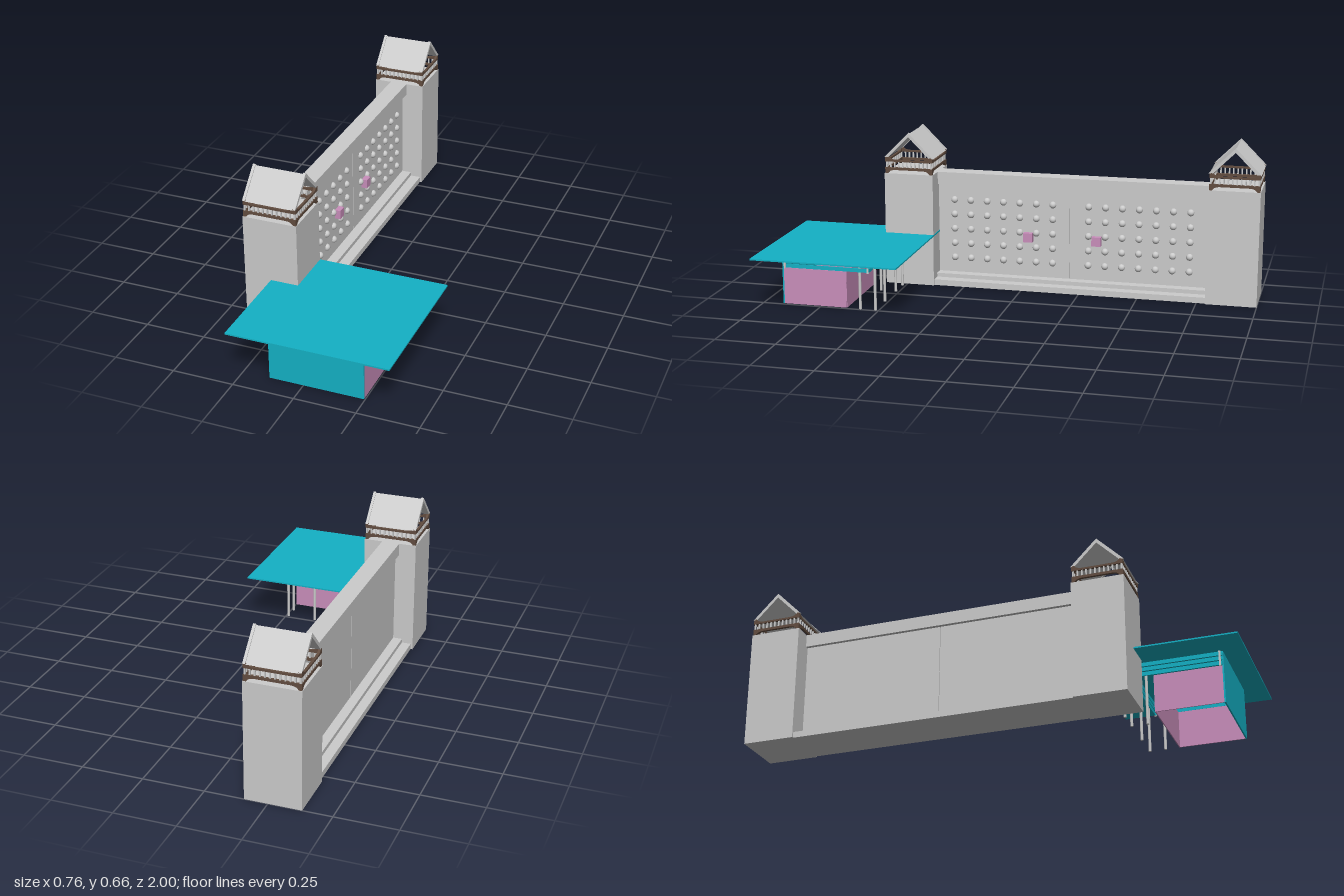
import * as THREE from 'three';

const mat = (color) => new THREE.MeshStandardMaterial({ color, side: THREE.DoubleSide });
const GREY = mat(0xcccccc), TEAL = mat(0x14b1c5), PURPLE = mat(0xc98ebb), BROWN = mat(0x624d40);

function add(parent, name, geometry, material) {
  const mesh = new THREE.Mesh(geometry, material);
  mesh.name = name;
  parent.add(mesh);
  return mesh;
}

// Box given by its limits on each axis
function box(parent, name, material, [x0, x1], [y0, y1], [z0, z1]) {
  const mesh = add(parent, name, new THREE.BoxGeometry(x1 - x0, y1 - y0, z1 - z0), material);
  mesh.position.set((x0 + x1) / 2, (y0 + y1) / 2, (z0 + z1) / 2);
  return mesh;
}

// Gable chevron extruded along x
function chevron(half, eave, ridge, thick, length) {
  const s = new THREE.Shape();
  s.moveTo(-half, eave);
  s.lineTo(0, ridge);
  s.lineTo(half, eave);
  s.lineTo(half - thick, eave);
  s.lineTo(0, ridge - thick);
  s.lineTo(-half + thick, eave);
  s.closePath();
  return new THREE.ExtrudeGeometry(s, { depth: length, bevelEnabled: false })
    .translate(0, 0, -length / 2).rotateY(Math.PI / 2);
}

// Rail with a straight inner edge and a hollowed outer edge that swells at the corners
function archedRail(width, inner, middle, end) {
  const h = width / 2, flat = h - 0.045;
  const s = new THREE.Shape();
  s.moveTo(-h, inner);
  s.lineTo(h, inner);
  s.lineTo(h, end);
  s.lineTo(h - 0.012, end);
  s.quadraticCurveTo(h - 0.02, middle, flat, middle);
  s.lineTo(-flat, middle);
  s.quadraticCurveTo(-h + 0.02, middle, -h + 0.012, end);
  s.lineTo(-h, end);
  s.closePath();
  return new THREE.ExtrudeGeometry(s, { depth: 0.01, bevelEnabled: false, curveSegments: 8 });
}

// Open lookout with a gabled roof on top of a tower
function lookout() {
  const g = new THREE.Group();
  g.name = 'lookout';
  const W = 0.222, D = 0.208;
  for (let i = 0; i < 4; i++) {
    const side = new THREE.Group();
    side.name = 'balustrade';
    const width = i % 2 ? D : W, out = (i % 2 ? W : D) / 2 - 0.01;
    add(side, 'lowerRail', archedRail(width, 0.511, 0.5, 0.485), BROWN).position.z = out;
    add(side, 'upperRail', archedRail(width, 0.536, 0.544, 0.558), BROWN).position.z = out;
    for (let k = 0; k < 12; k++) {
      const x = (k / 11 - 0.5) * (width - 0.012);
      box(side, 'baluster', GREY, [x - 0.003, x + 0.003], [0.508, 0.54], [out + 0.002, out + 0.008]);
    }
    side.rotation.y = i * Math.PI / 2;
    g.add(side);
  }
  add(g, 'roof', chevron(0.106, 0.552, 0.658, 0.011, 0.202), GREY);
  for (const s of [-1, 1])
    add(g, 'bargeBoard', chevron(0.108, 0.555, 0.663, 0.018, 0.011), GREY).position.x = s * 0.1055;
  return g;
}

function createModel() {
  const model = new THREE.Group();
  model.name = 'gatehouse';

  // Towers with lookouts
  for (const [z0, z1] of [[0.382, 0.595], [-1, -0.787]]) {
    box(model, 'tower', GREY, [-0.383, -0.157], [0, 0.485], [z0, z1]);
    const top = lookout();
    top.position.set(-0.27, 0, (z0 + z1) / 2);
    model.add(top);
  }

  // Wall between the towers: stepped base, two gate panels, top beam
  const span = [-0.788, 0.383];
  box(model, 'wallBase', GREY, [-0.375, -0.165], [0, 0.025], span);
  box(model, 'wallStep', GREY, [-0.335, -0.21], [0.025, 0.042], span);
  box(model, 'topBeam', GREY, [-0.31, -0.235], [0.432, 0.485], span);
  box(model, 'gateCore', GREY, [-0.29, -0.26], [0.04, 0.435], span);
  box(model, 'frontGate', GREY, [-0.295, -0.253], [0.04, 0.435], [-0.193, 0.383]);
  box(model, 'rearGate', GREY, [-0.295, -0.253], [0.04, 0.435], [-0.788, -0.197]);

  // Rows of round studs and a handle on each gate
  const stud = new THREE.SphereGeometry(0.015, 14, 10);
  for (const first of [0.312, -0.275])
    for (let c = 0; c < 7; c++)
      for (let r = 0; r < 5; r++)
        add(model, 'stud', stud, GREY).position.set(-0.253, 0.107 + r * 0.064, first - c * 0.072);
  for (const z of [-0.015, -0.312])
    box(model, 'handle', PURPLE, [-0.255, -0.228], [0.198, 0.237], [z - 0.02, z + 0.02]);

  // Hut open below, under a flat roof
  box(model, 'hutFront', TEAL, [-0.138, 0.247], [0.003, 0.216], [0.907, 0.913]);
  for (const x of [-0.136, 0.245])
    box(model, 'hutSide', PURPLE, [x - 0.002, x + 0.002], [0.003, 0.157], [0.637, 0.907]);
  box(model, 'hutBack', PURPLE, [-0.136, 0.245], [0.003, 0.157], [0.635, 0.639]);
  box(model, 'flatRoof', TEAL, [-0.272, 0.382], [0.218, 0.224], [0.38, 1]);

  // Boarded railing around the sides and the back
  for (let i = 0; i < 3; i++) {
    const y = [0.159 + i * 0.02, 0.175 + i * 0.02];
    for (const x of [-0.14, 0.249])
      box(model, 'sideBoard', TEAL, [x - 0.002, x + 0.002], y, [0.538, 0.91]);
    box(model, 'backBoard', TEAL, [-0.14, 0.249], y, [0.537, 0.541]);
  }
  for (const x of [-0.141, 0.251])
    for (const z of [0.542, 0.9])
      box(model, 'railPost', GREY, [x - 0.003, x + 0.003], [0.155, 0.218], [z - 0.004, z + 0.004]);

  // Slender posts carrying the roof behind the hut
  const post = new THREE.CylinderGeometry(0.006, 0.006, 0.22, 12);
  for (const [x, z] of [[-0.13, 0.515], [-0.035, 0.515], [0.115, 0.515], [0.24, 0.515], [-0.035, 0.58], [0.24, 0.58]])
    add(model, 'roofPost', post, GREY).position.set(x, 0.11, z);

  return model;
}

export { createModel };
